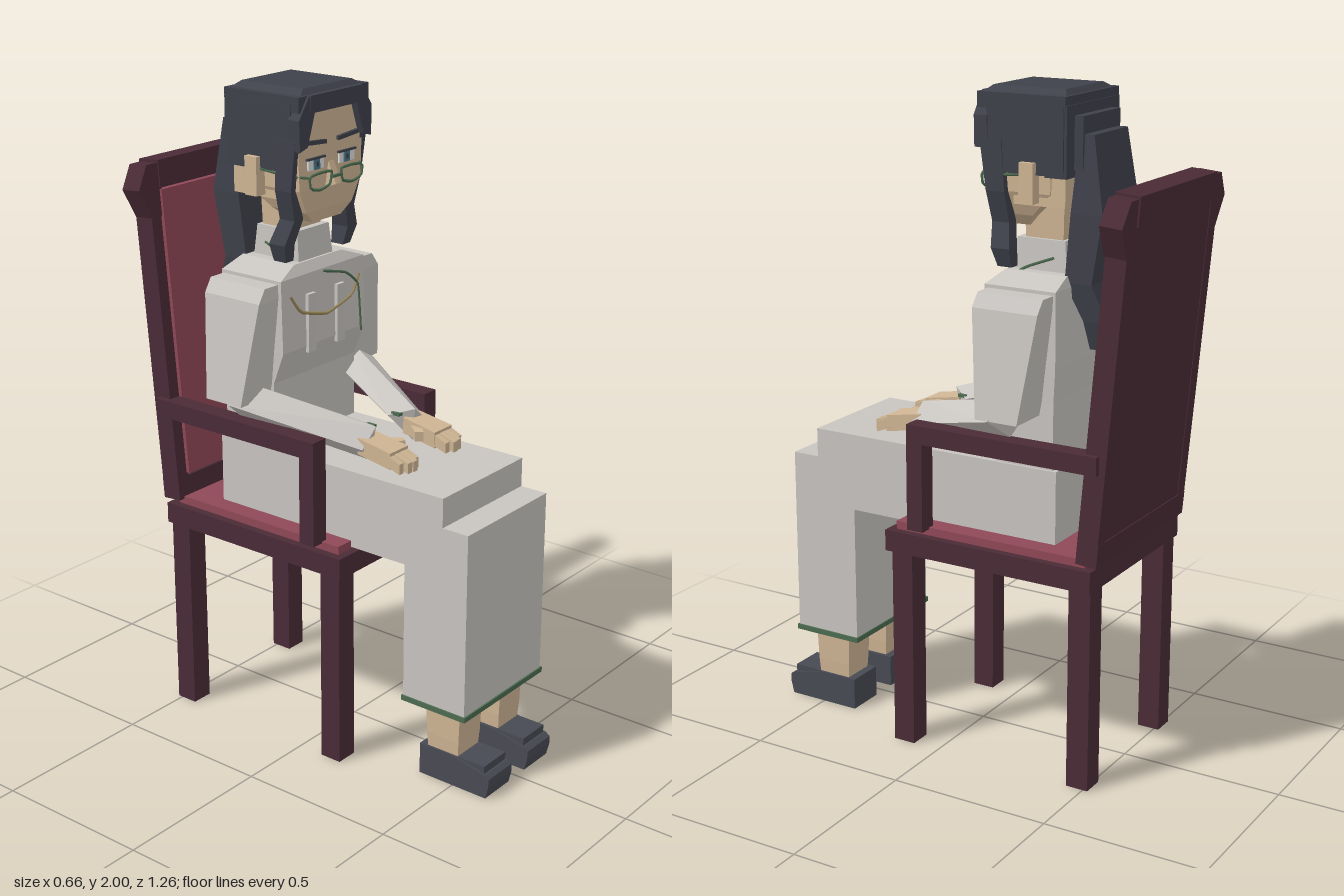
import * as THREE from 'three';
import { ConvexGeometry } from 'three/addons/geometries/ConvexGeometry.js';

const mat = (name, color) => {
  const m = new THREE.MeshStandardMaterial({ color });
  m.name = name;
  return m;
};

export function createModel() {
  const cloth = mat('pale cloth', 0xc8c4c0), wood = mat('dark wood', 0x4a2b36);
  const padding = mat('red padding', 0x8f4857), skin = mat('skin', 0xcfb594);
  const hair = mat('dark hair', 0x3f414b), shoe = mat('shoe grey', 0x484a53);
  const green = mat('green trim', 0x4c6b50), gold = mat('gold', 0x9c8a5a);
  const white = mat('eye white', 0xdedede), iris = mat('blue iris', 0x4a7585);

  const model = new THREE.Group();
  model.name = 'seatedFigure';
  const group = (name, parent = model) => {
    const g = new THREE.Group();
    g.name = name;
    parent.add(g);
    return g;
  };
  const add = (parent, name, geometry, material) => {
    const m = new THREE.Mesh(geometry, material);
    m.name = name;
    parent.add(m);
    return m;
  };
  // Box given by its limits on each axis
  const block = (parent, name, material, x0, x1, y0, y1, z0, z1) => {
    const m = add(parent, name, new THREE.BoxGeometry(Math.abs(x1 - x0), y1 - y0, Math.abs(z1 - z0)), material);
    m.position.set((x0 + x1) / 2, (y0 + y1) / 2, (z0 + z1) / 2);
    return m;
  };
  const hull = (parent, name, material, pts) =>
    add(parent, name, new ConvexGeometry(pts.map((p) => new THREE.Vector3(...p))), material);
  // Chain of tapered blocks through level sections [x, y, z, width, depth]
  const taper = (parent, name, material, sections) => {
    const g = group(name, parent);
    const ring = ([x, y, z, w, d]) =>
      [[-1, -1], [1, -1], [1, 1], [-1, 1]].map(([a, b]) => [x + a * w / 2, y, z + b * d / 2]);
    for (let i = 1; i < sections.length; i++) {
      hull(g, name + i, material, [...ring(sections[i - 1]), ...ring(sections[i])]);
    }
    return g;
  };
  const tube = (parent, name, material, pts, r, closed = false) => {
    const c = new THREE.CatmullRomCurve3(pts.map((p) => new THREE.Vector3(...p)), closed, 'catmullrom', 0.2);
    return add(parent, name, new THREE.TubeGeometry(c, 20, r, 4, closed), material);
  };

  // ---- Chair ----
  const chair = group('chair');
  block(chair, 'seat', wood, -0.285, 0.285, 0.62, 0.685, -0.52, 0.17);
  block(chair, 'seatCushion', padding, -0.26, 0.26, 0.685, 0.71, -0.49, 0.145);
  for (const s of [-1, 1]) {
    block(chair, 'frontLeg', wood, s * 0.2, s * 0.27, 0, 0.62, 0.085, 0.155);
    block(chair, 'backLeg', wood, s * 0.2, s * 0.27, 0, 0.62, -0.515, -0.445);
    block(chair, 'armPost', wood, s * 0.24, s * 0.298, 0.705, 0.98, 0.03, 0.083);
    block(chair, 'armRest', wood, s * 0.24, s * 0.298, 0.975, 1.03, -0.54, 0.083);
  }
  // Reclined back, built upright and tilted about its foot
  const back = group('chairBack', chair);
  back.position.set(0, 0.7, -0.5);
  back.rotation.x = -0.085;
  block(back, 'backPanel', wood, -0.275, 0.275, 0.02, 0.99, -0.033, -0.005);
  block(back, 'backCushion', padding, -0.24, 0.24, 0.08, 0.97, -0.005, 0.042);
  block(back, 'bottomRail', wood, -0.28, 0.28, 0, 0.07, -0.036, 0.03);
  block(back, 'topRail', wood, -0.24, 0.24, 0.975, 1.058, -0.04, 0.038);
  for (const s of [-1, 1]) {
    block(back, 'sideRail', wood, s * 0.235, s * 0.28, 0, 0.99, -0.035, 0.03);
    const ear = [[0.23, 1.05], [0.285, 1.05], [0.325, 0.98], [0.28, 0.89], [0.235, 0.89]];
    hull(back, 'corner', wood, ear.flatMap(([x, y]) => [[s * x, y, -0.035], [s * x, y, 0.034]]));
  }

  // ---- Gown ----
  const gown = group('gown');
  block(gown, 'skirtLap', cloth, -0.2, 0.198, 0.69, 0.93, -0.36, 0.475);
  block(gown, 'skirtFront', cloth, -0.2, 0.198, 0.265, 0.84, 0.342, 0.563);
  block(gown, 'skirtHem', green, -0.205, 0.203, 0.25, 0.266, 0.338, 0.568);
  block(gown, 'waist', cloth, -0.19, 0.19, 0.92, 1.13, -0.345, -0.155);
  taper(gown, 'chest', cloth, [[0, 1.13, -0.25, 0.38, 0.19], [0, 1.23, -0.233, 0.385, 0.236],
    [0, 1.45, -0.235, 0.385, 0.23], [0, 1.48, -0.24, 0.22, 0.2]]);
  taper(gown, 'collar', cloth, [[0, 1.45, -0.235, 0.16, 0.18], [0, 1.57, -0.235, 0.145, 0.155]]);
  for (const s of [-1, 1]) {
    block(gown, 'pleat', cloth, s * 0.05, s * 0.085, 1.21, 1.39, -0.118, -0.106);
    tube(gown, 'collarTrim', green, [[s * 0.11, 1.46, -0.15], [s * 0.085, 1.49, -0.2], [s * 0.075, 1.52, -0.28]], 0.004);
  }
  tube(gown, 'frontTrim', green, [[-0.01, 1.445, -0.113], [0.09, 1.42, -0.107], [0.15, 1.37, -0.107], [0.165, 1.22, -0.107]], 0.004);
  tube(gown, 'necklace', gold, [[-0.16, 1.4, -0.112], [-0.12, 1.345, -0.106], [0, 1.315, -0.104], [0.12, 1.345, -0.106], [0.16, 1.4, -0.112]], 0.005);

  // ---- Arms, hands, legs and shoes ----
  for (const s of [-1, 1]) {
    const side = s > 0 ? 'left' : 'right';
    const arm = group(side + 'Arm');
    taper(arm, 'upperSleeve', cloth, [[s * 0.2, 1.44, -0.237, 0.1, 0.21], [s * 0.218, 1.4, -0.235, 0.12, 0.21],
      [s * 0.26, 1.09, -0.235, 0.13, 0.135]]);
    hull(arm, 'foreSleeve', cloth, [
      [s * 0.33, 1.09, -0.21], [s * 0.265, 1.15, -0.25], [s * 0.2, 1.1, -0.27], [s * 0.25, 1.03, -0.24],
      [s * 0.16, 0.985, 0.155], [s * 0.095, 1.04, 0.155], [s * 0.045, 1.02, 0.09], [s * 0.105, 0.935, 0.14]]);
    block(arm, 'cuffTrim', green, s * 0.055, s * 0.098, 1.02, 1.029, 0.095, 0.125);
    const hand = group(side + 'Hand', arm);
    hull(hand, 'palm', skin, [[0.15, 0.13], [0.07, 0.13], [0.152, 0.25], [0.066, 0.25]].flatMap(([x, z]) => {
      const top = z < 0.2 ? 1.015 : 0.995;
      return [[s * x, top, z], [s * x, top - 0.05, z]];
    }));
    [0.29, 0.303, 0.3, 0.285].forEach((tip, i) => {
      const x = 0.077 + i * 0.022;
      hull(hand, 'finger', skin, [-0.01, 0.01].flatMap((d) => [
        [s * (x + d), 0.99, 0.24], [s * (x + d), 0.955, 0.24],
        [s * (x + d), 0.97, tip], [s * (x + d), 0.938, tip]]));
    });
    hull(hand, 'thumb', skin, [[0.085, 0.14], [0.08, 0.19], [0.045, 0.225], [0.028, 0.205]].flatMap(([x, z]) =>
      [[s * x, 0.998, z], [s * x, 0.968, z]]));

    const leg = group(side + 'Leg');
    taper(leg, 'shin', skin, [[s * 0.105, 0.35, 0.46, 0.115, 0.13], [s * 0.105, 0.145, 0.46, 0.11, 0.115],
      [s * 0.105, 0.07, 0.46, 0.1, 0.105]]);
    hull(leg, 'shoe', shoe, [[0.38, 0.1], [0.5, 0.1], [0.615, 0.075], [0.63, 0.065], [0.63, 0.04], [0.62, 0], [0.38, 0]]
      .flatMap(([z, y]) => [[s * 0.042, y, z], [s * 0.164, y, z]]));
    block(leg, 'shoeUpper', shoe, s * 0.048, s * 0.158, 0.06, 0.1, 0.385, 0.61);
  }

  // ---- Head ----
  const head = group('head');
  taper(head, 'neck', skin, [[0, 1.54, -0.24, 0.12, 0.12], [0, 1.7, -0.24, 0.13, 0.13]]);
  taper(head, 'face', skin, [[0, 1.605, -0.15, 0.13, 0.09], [0, 1.64, -0.16, 0.21, 0.13],
    [0, 1.71, -0.195, 0.28, 0.21], [0, 1.95, -0.2, 0.3, 0.22]]);
  block(head, 'nape', skin, -0.135, 0.135, 1.675, 1.8, -0.345, -0.18);
  hull(head, 'nose', skin, [[-0.012, 1.78, -0.088], [0.012, 1.78, -0.088], [-0.025, 1.705, -0.09],
    [0.025, 1.705, -0.09], [-0.012, 1.715, -0.06], [0.012, 1.715, -0.06]]);
  block(head, 'mouth', hair, -0.04, 0.04, 1.672, 1.678, -0.112, -0.093);
  block(head, 'lowerLip', skin, -0.03, 0.03, 1.655, 1.67, -0.12, -0.095);
  block(head, 'bridge', green, -0.024, 0.024, 1.735, 1.742, -0.072, -0.062);
  for (const s of [-1, 1]) {
    block(head, 'ear', skin, s * 0.14, s * 0.178, 1.685, 1.8, -0.265, -0.22);
    block(head, 'eye', white, s * 0.035, s * 0.105, 1.765, 1.795, -0.092, -0.085);
    block(head, 'iris', iris, s * 0.055, s * 0.082, 1.765, 1.795, -0.09, -0.083);
    block(head, 'pupil', hair, s * 0.064, s * 0.073, 1.774, 1.788, -0.088, -0.081);
    block(head, 'eyelid', hair, s * 0.03, s * 0.112, 1.795, 1.801, -0.092, -0.082);
    const brow = block(head, 'eyebrow', hair, s * 0.028, s * 0.118, 1.838, 1.85, -0.092, -0.08);
    brow.rotation.z = s * 0.08;
    // Spectacles
    tube(head, 'spectacleRim', green, [[0.022, 1.755], [0.075, 1.758], [0.12, 1.752], [0.115, 1.718], [0.075, 1.708], [0.03, 1.718]]
      .map(([x, y]) => [s * x, y, -0.068]), 0.0045, true);
    tube(head, 'spectacleArm', green, [[s * 0.12, 1.75, -0.07], [s * 0.155, 1.755, -0.12], [s * 0.16, 1.765, -0.23]], 0.004);
  }

  // ---- Hair ----
  const hairdo = group('hair');
  block(hairdo, 'hairCap', hair, -0.158, 0.158, 1.94, 1.985, -0.355, -0.075);
  taper(hairdo, 'hairCrown', hair, [[0, 1.98, -0.215, 0.29, 0.27], [0, 2, -0.215, 0.22, 0.23]]);
  block(hairdo, 'hairBack', hair, -0.155, 0.155, 1.76, 1.96, -0.358, -0.29);
  block(hairdo, 'bun', hair, -0.11, 0.11, 1.78, 1.93, -0.385, -0.35);
  for (const s of [-1, 1]) {
    block(hairdo, 'hairSide', hair, s * 0.138, s * 0.16, 1.765, 1.96, -0.35, -0.105);
    // Parted fringe
    hull(hairdo, 'fringe', hair, [[0, 1.975], [0, 1.942], [0.095, 1.935], [0.128, 1.84], [0.162, 1.83], [0.165, 1.92], [0.12, 1.985]]
      .slice(2).flatMap(([x, y]) => [[s * x, y, -0.11], [s * x, y, -0.068]]));
    block(hairdo, 'fringeTop', hair, 0, s * 0.115, 1.935, 1.985, -0.1, -0.066);
    taper(hairdo, 'sideLock', hair, [[s * 0.15, 1.86, -0.12, 0.028, 0.07], [s * 0.147, 1.71, -0.135, 0.028, 0.06],
      [s * 0.118, 1.62, -0.14, 0.04, 0.055], [s * 0.145, 1.55, -0.155, 0.045, 0.06], [s * 0.132, 1.495, -0.16, 0.035, 0.045]]);
  }
  taper(hairdo, 'ponytail', hair, [[0, 1.88, -0.392, 0.2, 0.045], [0, 1.66, -0.4, 0.225, 0.1],
    [0, 1.46, -0.372, 0.21, 0.085], [0, 1.35, -0.42, 0.17, 0.08], [0, 1.265, -0.42, 0.12, 0.06]]);
  return model;
}
